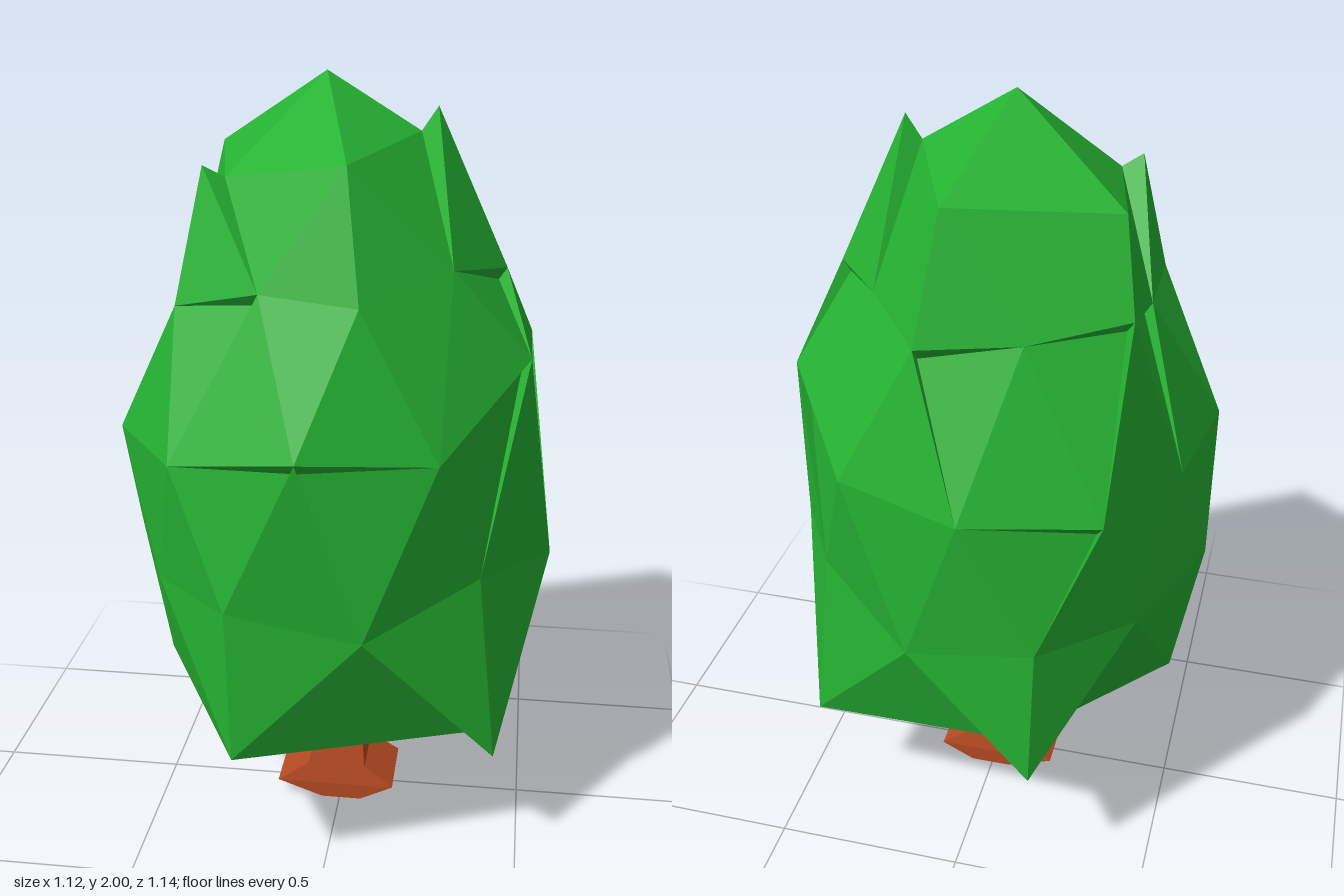
import * as THREE from 'three';

const leafMat = new THREE.MeshStandardMaterial({ color: 0x25b232, flatShading: true, side: THREE.DoubleSide });
const barkMat = new THREE.MeshStandardMaterial({ color: 0xb54a22, flatShading: true });

// Flat-shaded geometry from a list of triangles of [x, y, z] corners
function faceted(tris) {
  const g = new THREE.BufferGeometry();
  g.setAttribute('position', new THREE.Float32BufferAttribute(tris.flat(2), 3));
  g.computeVertexNormals();
  return g;
}

function addMesh(group, name, geometry, material) {
  const mesh = new THREE.Mesh(geometry, material);
  mesh.name = name;
  group.add(mesh);
}

const at = (ring, i) => ring[(i + ring.length) % ring.length];

// Complete a ring from its z >= 0 half
function mirrorRing(half) {
  const back = half.filter(p => p[2] > 0).reverse().map(([x, y, z]) => [x, y, -z]);
  return [...half, ...back];
}

// Crown rings, from the hem up to the shoulders, with their uneven corners
const hem = mirrorRing([[0.43, 0.33, 0.34], [-0.21, 0.4, 0.545], [-0.49, 0.4, 0]]);
const lower = mirrorRing([[0.555, 0.76, 0], [0.38, 0.83, 0.33], [0.11, 0.73, 0.52],
  [-0.22, 0.8, 0.54], [-0.43, 0.78, 0.32], [-0.56, 0.8, 0]]);
const rim = mirrorRing([[0.48, 1.35, 0.18], [0.28, 1.17, 0.46], [-0.04, 1.2, 0.57],
  [-0.36, 1.14, 0.46], [-0.55, 1.13, 0.17]]);
rim[5] = [-0.5, 1.13, -0.16];
rim[7] = [-0.04, 1.16, -0.57];
rim[9] = [0.48, 1.32, -0.18];
const upper = mirrorRing([[0.41, 1.53, 0], [0.29, 1.58, 0.26], [0.09, 1.53, 0.44],
  [-0.15, 1.54, 0.38], [-0.38, 1.58, 0.28], [-0.38, 1.5, 0]]);
upper[4] = [-0.37, 1.48, 0.28];
upper[9] = [0.25, 1.56, -0.23];
const shoulder = mirrorRing([[0.23, 1.92, 0], [0.05, 1.83, 0.34], [-0.34, 1.8, 0.2]]);
shoulder[2] = [-0.31, 1.8, 0.2];
const top = [-0.04, 2, 0], bottom = [0, 0.39, 0];

// Inner corners behind the leaf tips that stand off the crown
const shoulderCore = [...shoulder];
shoulderCore[0] = [0.19, 1.86, 0];
shoulderCore[2] = [-0.26, 1.77, 0.18];
const hemCore = [...hem];
hemCore[0] = [0.4, 0.375, 0.29];
hemCore[3] = [-0.16, 0.47, -0.48];

// Triangle below the edge i to i + 1 of a ring; cracked corners are set back
// so that the layer above overhangs them
function hangingFace(ring, i, apex, cracked) {
  const inset = j => {
    const [x, y, z] = ring[j];
    return cracked.includes(j) ? [x * 0.95, y - 0.03, z * 0.95] : ring[j];
  };
  const j = (i + 1) % 10;
  const a = ring[i], b = ring[j], p = inset(i), q = inset(j);
  const t = [[apex, p, q]];
  if (p !== a) t.push([a, b, p], [apex, a, p]);
  if (q !== b) t.push([p, b, q], [apex, q, b]);
  return t;
}

// Pointed caps at the shoulders or hem: outer tips, inner cores, ring behind them
function points(tips, cores, ring, shift, pole) {
  const t = [];
  for (let k = 0; k < 5; k++) {
    const i = 2 * k + shift;
    const before = at(ring, i - 1), mid = at(ring, i), after = at(ring, i + 1);
    const tip = tips[k], core = cores[k], next = at(cores, k + 1);
    // Corner order turns over between the upper and lower end
    const add = (a, b, c) => t.push(pole === top ? [a, b, c] : [a, c, b]);
    add(before, tip, mid);
    add(mid, tip, after);
    add(after, core, next);
    add(core, pole, next);
    if (tip !== core) {
      add(before, core, tip);
      add(after, tip, core);
    }
  }
  return t;
}

// Faceted crown, a stretched ten-sided ball with cracked layers
function crownGeometry() {
  const t = [
    ...points(shoulder, shoulderCore, upper, 0, top),
    ...points(hem, hemCore, lower, 1, bottom),
  ];
  for (let i = 0; i < 10; i++) {
    t.push([rim[i], at(upper, i + 1), at(rim, i + 1)], [lower[i], rim[i], at(lower, i + 1)]);
    t.push(...hangingFace(rim, i, at(lower, i + 1), [0, 2, 6, 9]));
    // The front of the upper layer stays closed
    t.push(...hangingFace(upper, i, rim[i], i === 2 ? [] : [0, 3, 5, 6, 8]));
  }
  return faceted(t);
}

// Trunk from stacked sections: height, x from, x to, half depth
function trunkGeometry() {
  const sections = [
    [0, -0.05, 0.06, 0.1], [0.045, -0.175, 0.15, 0.1], [0.1, -0.09, 0.07, 0.088],
    [0.2, -0.07, 0.06, 0.067], [0.3, -0.105, 0.045, 0.088], [0.42, -0.09, 0.06, 0.105],
  ].map(([y, a, b, d]) => [[b, y, -d], [b, y, d], [a, y, d], [a, y, -d]]);
  const t = [];
  for (let s = 0; s < sections.length - 1; s++) {
    const lo = sections[s], hi = sections[s + 1];
    for (let i = 0; i < 4; i++) {
      const j = (i + 1) % 4;
      t.push([lo[i], hi[i], lo[j]], [lo[j], hi[i], hi[j]]);
    }
  }
  const base = sections[0], cap = sections[sections.length - 1];
  t.push([base[0], base[1], base[2]], [base[0], base[2], base[3]]);
  t.push([cap[0], cap[2], cap[1]], [cap[0], cap[3], cap[2]]);
  return faceted(t);
}

export function createModel() {
  const tree = new THREE.Group();
  tree.name = 'tree';
  addMesh(tree, 'trunk', trunkGeometry(), barkMat);
  addMesh(tree, 'crown', crownGeometry(), leafMat);
  return tree;
}
